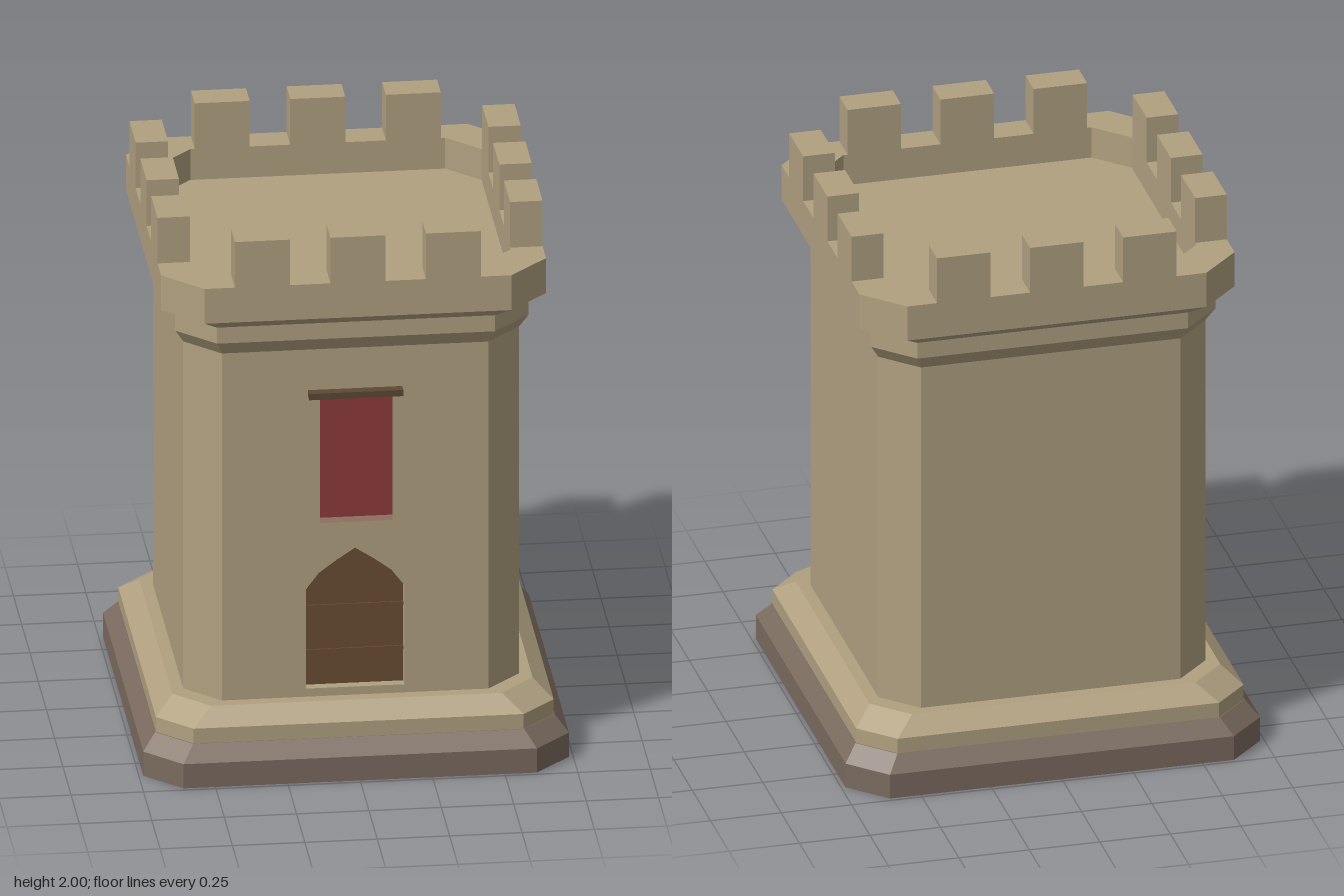
import * as THREE from 'three';

function material(name, color) {
  const m = new THREE.MeshStandardMaterial({ color });
  m.name = name;
  return m;
}

// Chamfered square ring: half width h, corner cut c, height y. Side 0 faces +z.
function ring([h, c, y]) {
  const k = h - c;
  return [[-k, h], [k, h], [h, k], [h, -k], [k, -h], [-k, -h], [-h, -k], [-h, k]]
    .map(([x, z]) => [x, y, z]);
}

// Flat-faced loft through a stack of chamfered square rings
function loft(profile, { bottom = false, top = false, skipFront = false } = {}) {
  const rings = profile.map(ring);
  const pos = [];
  const tri = (a, b, c) => pos.push(...a, ...b, ...c);
  for (let r = 0; r < rings.length - 1; r++) {
    for (let i = skipFront ? 1 : 0; i < 8; i++) {
      const j = (i + 1) % 8, lo = rings[r], hi = rings[r + 1];
      tri(lo[i], lo[j], hi[j]);
      tri(lo[i], hi[j], hi[i]);
    }
  }
  const first = rings[0], last = rings[rings.length - 1];
  for (let i = 1; i < 7; i++) {
    if (bottom) tri(first[0], first[i + 1], first[i]);
    if (top) tri(last[0], last[i], last[i + 1]);
  }
  const g = new THREE.BufferGeometry();
  g.setAttribute('position', new THREE.Float32BufferAttribute(pos, 3));
  g.computeVertexNormals();
  return g;
}

// Pointed arch outline shared by the doorway and the door
function archPoints() {
  return [[-0.17, 0.285], [0.17, 0.285], [0.17, 0.655], [0.125, 0.715], [0.065, 0.76],
    [0, 0.803], [-0.065, 0.76], [-0.125, 0.715], [-0.17, 0.655]]
    .map(([x, y]) => new THREE.Vector2(x, y));
}

export function createModel() {
  const stone = material('sandstone', 0xb0a080);
  const baseStone = material('dark base stone', 0x7a6a5e);
  const wood = material('door wood', 0x694c34);
  const rodWood = material('rod wood', 0x5c4933);
  const cloth = material('red cloth', 0x8f3a3c);
  const trim = material('banner trim', 0xb38f78);

  const model = new THREE.Group();
  model.name = 'tower';
  const add = (name, geometry, mat, parent = model) => {
    const mesh = new THREE.Mesh(geometry, mat);
    mesh.name = name;
    parent.add(mesh);
    return mesh;
  };
  const box = (name, w, h, d, x, y, z, mat, parent) =>
    add(name, new THREE.BoxGeometry(w, h, d), mat, parent).position.set(x, y, z);

  // Stepped base
  add('foundation', loft([[0.735, 0.125, 0], [0.735, 0.125, 0.09], [0.69, 0.118, 0.145]],
    { bottom: true, top: true }), baseStone);
  add('plinth', loft([[0.687, 0.117, 0.145], [0.687, 0.117, 0.2], [0.622, 0.12, 0.255],
    [0.58, 0.12, 0.255]]), stone);

  // Shaft, with a separate front wall pierced by the doorway
  add('shaft', loft([[0.58, 0.12, 0.255], [0.58, 0.12, 1.55]], { skipFront: true }), stone);
  const wall = new THREE.Shape([[-0.46, 0.255], [0.46, 0.255], [0.46, 1.55], [-0.46, 1.55]]
    .map(([x, y]) => new THREE.Vector2(x, y)));
  wall.holes.push(new THREE.Path(archPoints()));
  add('frontWall', new THREE.ExtrudeGeometry(wall, { depth: 0.04, bevelEnabled: false })
    .translate(0, 0, 0.54), stone);

  // Recessed door with two raised straps
  const door = new THREE.Group();
  door.name = 'door';
  model.add(door);
  add('doorPanel', new THREE.ExtrudeGeometry(new THREE.Shape(archPoints()),
    { depth: 0.008, bevelEnabled: false }).translate(0, 0, 0.537), wood, door);
  for (const y of [0.41, 0.575]) box('doorStrap', 0.34, 0.014, 0.006, 0, y, 0.547, wood, door);

  // Cornice and hollow parapet with sunken roof floor
  add('cornice', loft([[0.58, 0.12, 1.55], [0.61, 0.13, 1.6], [0.61, 0.13, 1.66],
    [0.665, 0.135, 1.7]]), stone);
  add('parapet', loft([[0.665, 0.135, 1.7], [0.665, 0.135, 1.83], [0.553, 0.113, 1.83],
    [0.553, 0.113, 1.715]], { top: true }), stone);

  // Three merlons on each side
  for (let side = 0; side < 4; side++) {
    const row = new THREE.Group();
    row.name = 'merlonRow';
    row.rotation.y = side * Math.PI / 2;
    model.add(row);
    for (const x of [-0.33, 0, 0.33]) box('merlon', 0.19, 0.175, 0.112, x, 1.9125, 0.609, stone, row);
  }

  // Banner hanging from a rod
  const banner = new THREE.Group();
  banner.name = 'banner';
  model.add(banner);
  box('bannerRod', 0.325, 0.023, 0.035, 0, 1.387, 0.5975, rodWood, banner);
  box('bannerCloth', 0.25, 0.442, 0.008, 0, 1.156, 0.61, cloth, banner);
  box('bannerTrim', 0.25, 0.02, 0.008, 0, 0.925, 0.61, trim, banner);

  return model;
}
